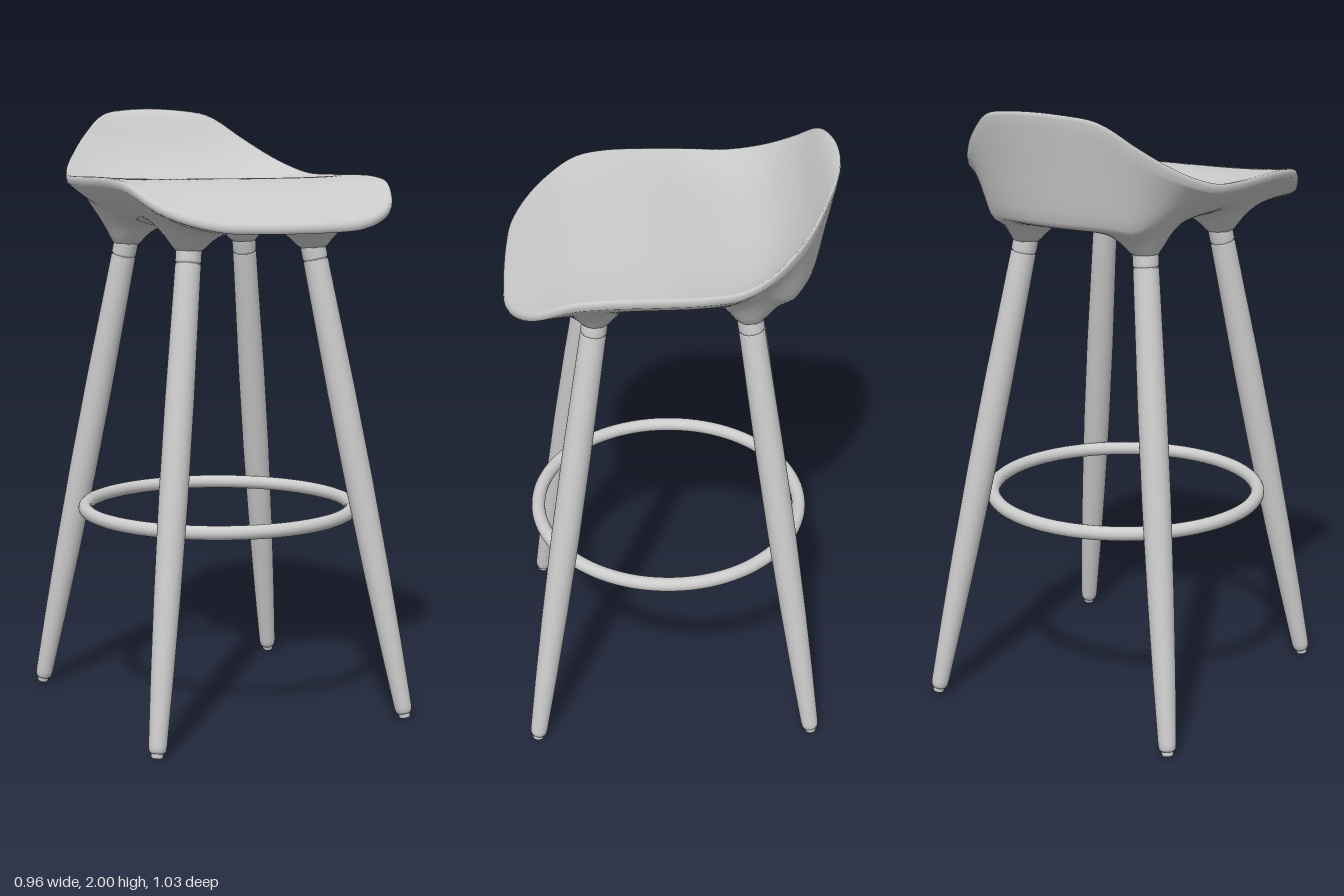
import * as THREE from 'three';

const material = new THREE.MeshStandardMaterial({ color: 0xcccccc, roughness: 0.6 });

// smooth curve value through [position, value] pairs sorted by position
function sample(pts, t) {
  const n = pts.length - 1;
  if (t <= pts[0][0]) return pts[0][1];
  if (t >= pts[n][0]) return pts[n][1];
  let i = 0;
  while (t > pts[i + 1][0]) i++;
  const slope = (k) => {
    const a = pts[Math.max(k - 1, 0)], b = pts[Math.min(k + 1, n)];
    return (b[1] - a[1]) / (b[0] - a[0]);
  };
  const h = pts[i + 1][0] - pts[i][0], u = (t - pts[i][0]) / h;
  const u2 = u * u, u3 = u2 * u;
  return (2 * u3 - 3 * u2 + 1) * pts[i][1] + (u3 - 2 * u2 + u) * h * slope(i)
    + (3 * u2 - 2 * u3) * pts[i + 1][1] + (u3 - u2) * h * slope(i + 1);
}

// right half of the seat outline, front to back
const HALF = [
  [0, 0.515], [0.12, 0.513], [0.24, 0.503], [0.34, 0.465], [0.41, 0.41], [0.45, 0.34], [0.47, 0.27],
  [0.478, 0.18], [0.478, 0], [0.472, -0.1], [0.454, -0.2], [0.42, -0.28], [0.37, -0.35],
  [0.3, -0.42], [0.2, -0.48], [0.1, -0.511], [0, -0.52],
];
// heights along z: of the rim, and of the seat's middle line
const RIM = [[-0.52, 2], [-0.48, 1.978], [-0.42, 1.905], [-0.35, 1.845], [-0.28, 1.805], [-0.2, 1.78],
  [-0.1, 1.775], [0.1, 1.775], [0.2, 1.772], [0.3, 1.755], [0.4, 1.7], [0.515, 1.63]];
const MIDDLE = [[-0.52, 2], [-0.47, 1.935], [-0.4, 1.84], [-0.32, 1.775], [-0.22, 1.748], [-0.1, 1.75],
  [0.05, 1.765], [0.2, 1.758], [0.3, 1.735], [0.4, 1.688], [0.515, 1.63]];
// underside rise from centre to rim, at the tall back
const BACK_WALL = [[0, 0], [0.4, 0.015], [0.7, 0.05], [0.86, 0.1], [0.89, 0.17], [0.94, 0.55], [1, 1]];

const BASE = 1.607;
const LEG_TOP = { x: 0.222, y: 1.56, z: 0.236 };
const LEG_FOOT = { x: 0.452, y: 0.005, z: 0.47 };
const CORNERS = [[1, 1], [-1, 1], [1, -1], [-1, -1]];

// height of the underside, with a flared socket over each leg
function underside(x, z, s, rimY) {
  const back = THREE.MathUtils.smoothstep(rimY, 1.78, 1.92);
  const rise = THREE.MathUtils.lerp(s ** 3, sample(BACK_WALL, s), back);
  let y = BASE + (rimY - 0.026 - BASE) * rise;
  for (const [sx, sz] of CORNERS) {
    const d = Math.hypot(x - sx * LEG_TOP.x, z - sz * LEG_TOP.z + 0.005);
    const k = Math.max(0, d - 0.038) / 0.05;
    y = THREE.MathUtils.lerp(y, 1.542, Math.exp(-(k ** 1.3)));
  }
  return y;
}

// closed seat shell: rings run from the top centre over the rim to the bottom centre
function seatGeometry() {
  const SEG = 128, TOP = 28, BOTTOM = 50;
  const loop = [...HALF, ...HALF.slice(1, -1).reverse().map(([x, z]) => [-x, z])];
  const outline = new THREE.CatmullRomCurve3(loop.map(([x, z]) => new THREE.Vector3(x, 0, z)), true)
    .getSpacedPoints(SEG).slice(0, SEG);

  const rings = [];
  for (let i = 0; i <= TOP; i++) {
    const s = 0.985 * (1 - (1 - i / TOP) ** 1.3);
    rings.push({ s, y: (x, z, rim) => THREE.MathUtils.lerp(sample(MIDDLE, z), sample(RIM, z), s ** 4) });
  }
  rings.push({ s: 0.996, y: (x, z, rim) => rim - 0.002 });
  rings.push({ s: 1, y: (x, z, rim) => rim - 0.01 });
  rings.push({ s: 1, y: (x, z, rim) => rim - 0.017 });
  for (let i = 0; i <= BOTTOM; i++) {
    const s = 0.995 * (1 - (i / BOTTOM) ** 1.2);
    rings.push({ s, y: (x, z, rim) => underside(x, z, s, rim) });
  }

  const position = [], index = [];
  rings.forEach(({ s, y }, r) => {
    outline.forEach((p, j) => {
      const x = p.x * s, z = p.z * s;
      position.push(x, y(x, z, sample(RIM, p.z)), z);
      if (r === rings.length - 1) return;
      const a = r * SEG + j, b = r * SEG + (j + 1) % SEG;
      index.push(a, a + SEG, b + SEG, a, b + SEG, b);
    });
  });
  const geometry = new THREE.BufferGeometry();
  geometry.setAttribute('position', new THREE.Float32BufferAttribute(position, 3));
  geometry.setIndex(index);
  geometry.computeVertexNormals();
  return geometry;
}

// turned parts of one leg: [radius, distance along the leg]
const LEG_PARTS = {
  glide: [[0, 0], [0.017, 0], [0.019, 0.006], [0.019, 0.025]],
  shaft: [[0, 0.016], [0.022, 0.016], [0.027, 0.024], [0.029, 0.04], [0.036, 0.25], [0.042, 0.5],
    [0.046, 0.8], [0.046, 1.1], [0.043, 1.35], [0.041, 1.53], [0.038, 1.534], [0, 1.534]],
  collar: [[0.037, 1.53], [0.037, 1.537], [0.041, 1.541], [0.041, 1.6]],
};

function createLeg(sx, sz) {
  const leg = new THREE.Group();
  const foot = new THREE.Vector3(sx * LEG_FOOT.x, LEG_FOOT.y, sz * LEG_FOOT.z - 0.005);
  const top = new THREE.Vector3(sx * LEG_TOP.x, LEG_TOP.y, sz * LEG_TOP.z - 0.005);
  for (const [name, profile] of Object.entries(LEG_PARTS)) {
    const points = profile.map(([r, y]) => new THREE.Vector2(r, y));
    const part = new THREE.Mesh(new THREE.LatheGeometry(points, 32), material);
    part.name = name;
    leg.add(part);
  }
  leg.position.copy(foot);
  leg.quaternion.setFromUnitVectors(new THREE.Vector3(0, 1, 0), top.sub(foot).normalize());
  leg.name = (sz > 0 ? 'front' : 'back') + (sx > 0 ? 'Left' : 'Right') + 'Leg';
  return leg;
}

export function createModel() {
  const stool = new THREE.Group();
  stool.name = 'barStool';

  const seat = new THREE.Mesh(seatGeometry(), material);
  seat.name = 'seat';
  stool.add(seat);

  for (const [sx, sz] of CORNERS) stool.add(createLeg(sx, sz));

  // round foot rest held inside the legs
  const footRing = new THREE.Mesh(new THREE.TorusGeometry(0.446, 0.023, 16, 96), material);
  footRing.name = 'footRing';
  footRing.rotation.x = Math.PI / 2;
  footRing.position.y = 0.675;
  stool.add(footRing);

  return stool;
}
